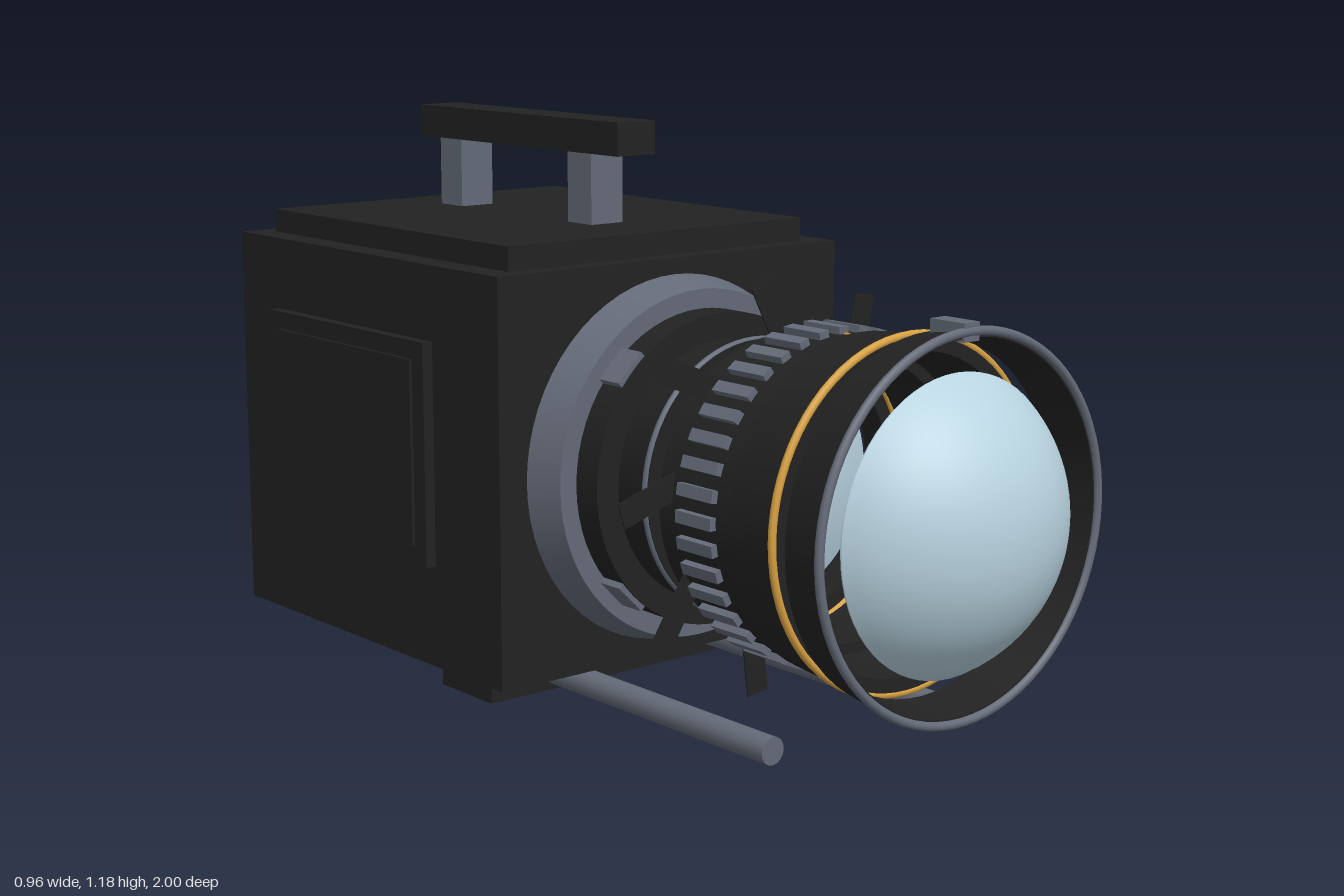
import * as THREE from 'three';
import { toCreasedNormals } from 'three/addons/utils/BufferGeometryUtils.js';

const mat = (name, color) => Object.assign(new THREE.MeshStandardMaterial({ color }), { name });

export function createModel() {
  const black = mat('black casing', 0x222222);
  const grey = mat('grey metal', 0x646a78);
  const gold = mat('gold trim', 0xd6a040);
  const glass = mat('lens glass', 0xb8d3e0);

  const root = new THREE.Group();
  root.name = 'cinemaCamera';

  const add = (parent, name, geometry, material) => {
    const mesh = new THREE.Mesh(geometry, material);
    mesh.name = name;
    parent.add(mesh);
    return mesh;
  };
  // box given by its minimum and maximum on each axis
  const box = (name, material, x0, x1, y0, y1, z0, z1) => {
    const mesh = add(root, name, new THREE.BoxGeometry(x1 - x0, y1 - y0, z1 - z0), material);
    mesh.position.set((x0 + x1) / 2, (y0 + y1) / 2, (z0 + z1) / 2);
    return mesh;
  };

  // Body
  box('body', black, -0.45, 0.45, 0.075, 0.91, -0.925, 0.035);
  box('topPlate', black, -0.39, 0.39, 0.91, 0.96, -0.88, -0.01);
  box('backPlate', black, -0.36, 0.36, 0.165, 0.82, -1, -0.925);

  // Carrying handle
  box('handleBar', black, -0.05, 0.05, 1.11, 1.18, -0.8, -0.09);
  for (const z of [-0.228, -0.695]) box('handlePost', grey, -0.042, 0.042, 0.96, 1.11, z - 0.04, z + 0.04);

  // Side panels
  box('sideScreen', grey, 0.45, 0.474, 0.32, 0.725, -0.77, -0.305);
  box('sideDoor', black, -0.473, -0.45, 0.29, 0.755, -0.775, -0.19);
  box('sideDoorInset', black, -0.479, -0.473, 0.33, 0.717, -0.735, -0.23);
  for (let i = 0; i < 5; i++) {
    const y = 0.125 + i * 0.038;
    box('ventSlat', black, 0.445, 0.476, y - 0.01, y + 0.01, -0.73, -0.355).rotation.z = 0.25;
  }

  // Rod support
  box('rodBracket', black, -0.372, 0.372, 0, 0.075, -0.285, -0.11);
  for (const x of [-0.218, 0.218]) {
    const rod = add(root, 'supportRod', new THREE.CylinderGeometry(0.028, 0.028, 1.365, 16).rotateX(Math.PI / 2), grey);
    rod.position.set(x, 0.045, -0.1025);
  }

  // Lens, built around its own axis along z
  const lens = new THREE.Group();
  lens.name = 'lens';
  lens.position.y = 0.4925;
  root.add(lens);

  const turned = (name, material, points) => {
    const lathe = new THREE.LatheGeometry(points.map(p => new THREE.Vector2(...p)), 64).rotateX(Math.PI / 2);
    return add(lens, name, toCreasedNormals(lathe, 0.5), material);
  };
  // hollow ring from z0 (outer radius r0) to z1 (outer radius r1)
  const ring = (name, material, z0, r0, z1, r1, wall) =>
    turned(name, material, [[r0 - wall, z0], [r0, z0], [r1, z1], [r1 - wall, z1], [r0 - wall, z0]]);
  const band = (name, material, radius, tube, z) => {
    add(lens, name, new THREE.TorusGeometry(radius, tube, 10, 72), material).position.z = z;
  };
  // places a part at an angle around the lens axis
  const around = (name, geometry, material, angle) => {
    add(lens, name, geometry, material).rotation.z = angle;
  };

  // Mount
  turned('mountFlange', grey, [[0, 0.03], [0.385, 0.03], [0.362, 0.115], [0, 0.115]]);
  turned('mountRing', black, [[0, 0.115], [0.322, 0.115], [0.322, 0.18], [0, 0.18]]);
  const lug = new THREE.BoxGeometry(0.055, 0.08, 0.06).translate(0.305, 0, 0.146);
  for (let i = 0; i < 4; i++) around('mountLug', lug, grey, Math.PI / 4 + i * Math.PI / 2);
  ring('rearBarrel', black, 0.18, 0.268, 0.285, 0.28, 0.04);
  band('rearBarrelRim', grey, 0.277, 0.008, 0.275);

  // Rear glass element
  turned('rearGlass', glass, [[0, 0.22], [0.14, 0.235], [0.238, 0.27], [0.238, 0.35], [0.14, 0.385], [0, 0.4]]);

  // Iris ring with its flat blades
  ring('irisRing', black, 0.337, 0.295, 0.4, 0.295, 0.04);
  band('irisTrim', gold, 0.29, 0.006, 0.403);
  const blade = new THREE.BoxGeometry(0.2, 0.053, 0.003).translate(-0.1, 0, 0)
    .rotateZ(0.3).translate(0.418, 0, 0.375);
  for (let i = 0; i < 9; i++) around('irisBlade', blade, black, (20 + i * 40) * Math.PI / 180);

  // Focus ring with ribs
  ring('focusRing', black, 0.425, 0.322, 0.57, 0.322, 0.045);
  const rib = new THREE.BoxGeometry(0.022, 0.024, 0.1).translate(0.325, 0, 0.482);
  for (let i = 0; i < 40; i++) around('focusRib', rib, grey, i * Math.PI / 20);
  around('focusMark', new THREE.BoxGeometry(0.008, 0.008, 0.034).translate(0.32, 0, 0.55), gold, Math.PI / 2);

  // Front barrel
  ring('frontBarrel', black, 0.578, 0.332, 0.715, 0.346, 0.035);
  band('frontBarrelTrim', gold, 0.343, 0.008, 0.709);

  // Front glass: convex cap with a shallow back
  const cap = [[0, 0.78], [0.15, 0.79], [0.288, 0.826]];
  for (let i = 0; i <= 16; i++) {
    const a = 1.072 * (1 - i / 16);
    cap.push([0.328 * Math.sin(a), 0.672 + 0.328 * Math.cos(a)]);
  }
  turned('frontGlass', glass, cap);

  // Lens hood
  ring('hood', black, 0.755, 0.355, 0.855, 0.37, 0.015);
  band('hoodRim', grey, 0.367, 0.009, 0.856);
  around('hoodTab', new THREE.BoxGeometry(0.035, 0.04, 0.085).translate(0.366, 0, 0.818), grey, Math.PI / 2);

  return root;
}
